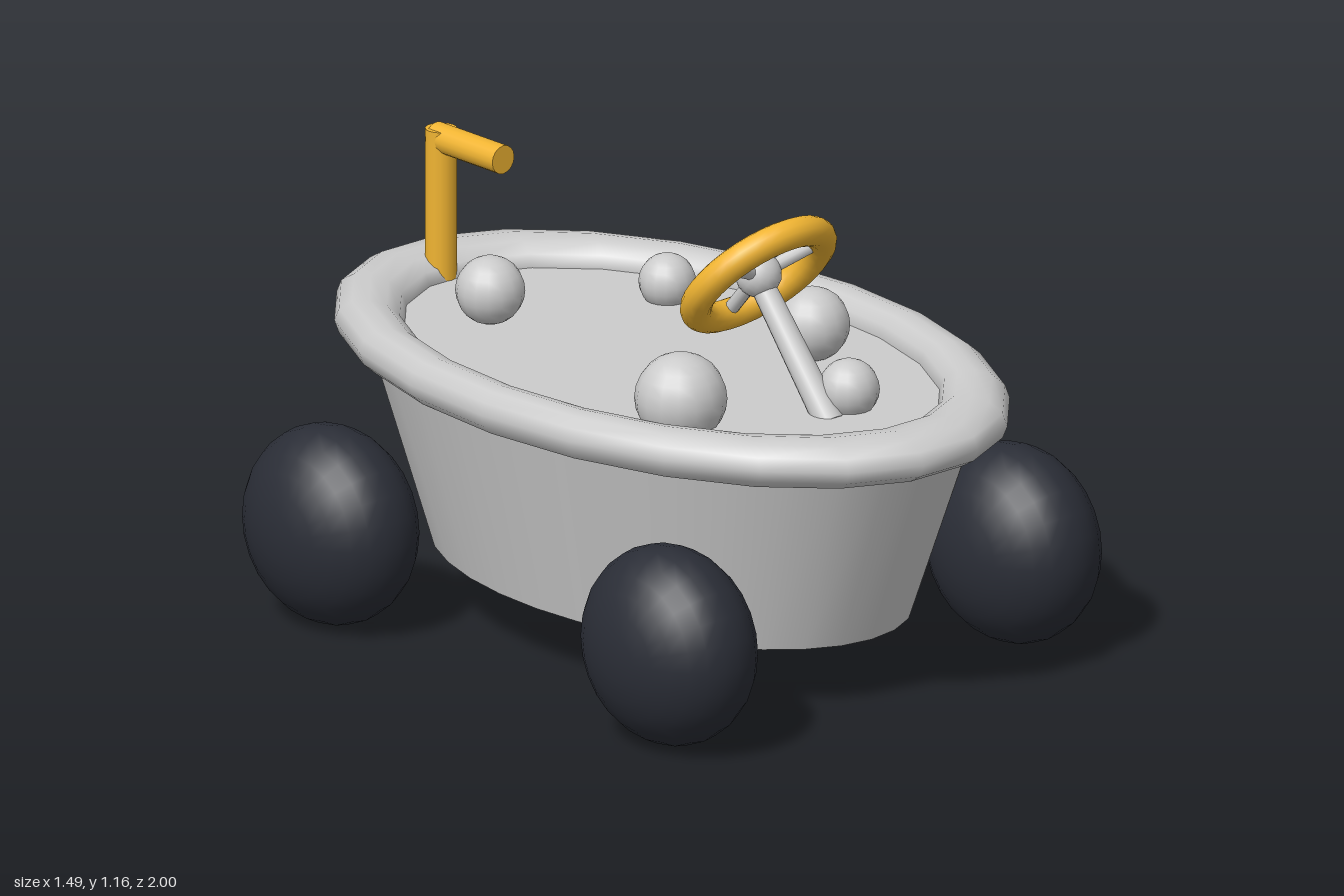
import * as THREE from 'three';

const grey = new THREE.MeshStandardMaterial({ color: 0xcccccc });
const gold = new THREE.MeshStandardMaterial({ color: 0xf0b432 });
const black = new THREE.MeshStandardMaterial({ color: 0x2a2d36 });

function add(parent, name, geometry, material, x = 0, y = 0, z = 0) {
  const mesh = new THREE.Mesh(geometry, material);
  mesh.name = name;
  mesh.position.set(x, y, z);
  parent.add(mesh);
  return mesh;
}

// Cylinder running from point a (radius ra) to point b (radius rb)
function rod(parent, name, a, b, ra, rb, material, sides = 16) {
  const from = new THREE.Vector3(...a), to = new THREE.Vector3(...b);
  const dir = to.clone().sub(from);
  const mid = from.clone().add(to).multiplyScalar(0.5);
  const mesh = add(parent, name, new THREE.CylinderGeometry(rb, ra, dir.length(), sides), material, mid.x, mid.y, mid.z);
  mesh.quaternion.setFromUnitVectors(new THREE.Vector3(0, 1, 0), dir.normalize());
  return mesh;
}

export function createModel() {
  const model = new THREE.Group();
  model.name = 'bathtubCar';

  // Oval tub; its closed top is the water surface
  const tub = new THREE.CylinderGeometry(0.572, 0.445, 0.535, 32);
  tub.scale(1, 1, 1.61);
  add(model, 'tub', tub, grey, 0, 0.4325, 0);

  // Rounded rim
  const rim = new THREE.TorusGeometry(0.56, 0.065, 12, 22);
  rim.rotateX(Math.PI / 2);
  rim.scale(1, 0.95, 1.615);
  add(model, 'rim', rim, grey, 0, 0.7, 0);

  // Four bulging wheels
  const wheel = new THREE.SphereGeometry(0.25, 24, 14);
  wheel.rotateZ(Math.PI / 2);
  wheel.scale(0.72, 1, 1);
  for (const x of [-0.563, 0.563])
    for (const z of [-0.607, 0.607])
      add(model, (z > 0 ? 'front' : 'rear') + (x > 0 ? 'Left' : 'Right') + 'Wheel', wheel, black, x, 0.255, z);

  // Steering wheel and column
  const steering = new THREE.Group();
  steering.name = 'steeringWheel';
  steering.position.set(0, 0.995, 0.31);
  steering.rotation.x = 0.72;
  model.add(steering);
  add(steering, 'steeringRing', new THREE.TorusGeometry(0.177, 0.038, 14, 32), gold);
  for (let i = 0; i < 3; i++) {
    const a = Math.PI / 6 + (i * Math.PI * 2) / 3;
    rod(steering, 'spoke', [0, 0, 0], [0.177 * Math.cos(a), 0.177 * Math.sin(a), 0], 0.018, 0.018, grey, 10);
  }
  add(steering, 'hub', new THREE.SphereGeometry(0.057, 16, 12), grey);
  rod(model, 'steeringColumn', [0, 0.68, 0.565], [0, 0.985, 0.312], 0.037, 0.03, grey);

  // Tap at the back
  rod(model, 'tapPost', [0, 0.69, -0.828], [0, 1.08, -0.828], 0.039, 0.039, gold);
  rod(model, 'tapSpout', [0, 1.055, -0.845], [0, 1.055, -0.605], 0.036, 0.036, gold);

  // Bubbles on the water: x, y, z, radius
  const bubbles = [
    [-0.3, 0.762, 0.36, 0.113], [0.26, 0.785, 0.218, 0.092], [0.075, 0.747, 0.552, 0.075],
    [-0.188, 0.807, -0.446, 0.085], [0.293, 0.745, -0.338, 0.07],
  ];
  for (const [x, y, z, r] of bubbles)
    add(model, 'bubble', new THREE.SphereGeometry(r, 16, 12), grey, x, y, z);

  return model;
}
